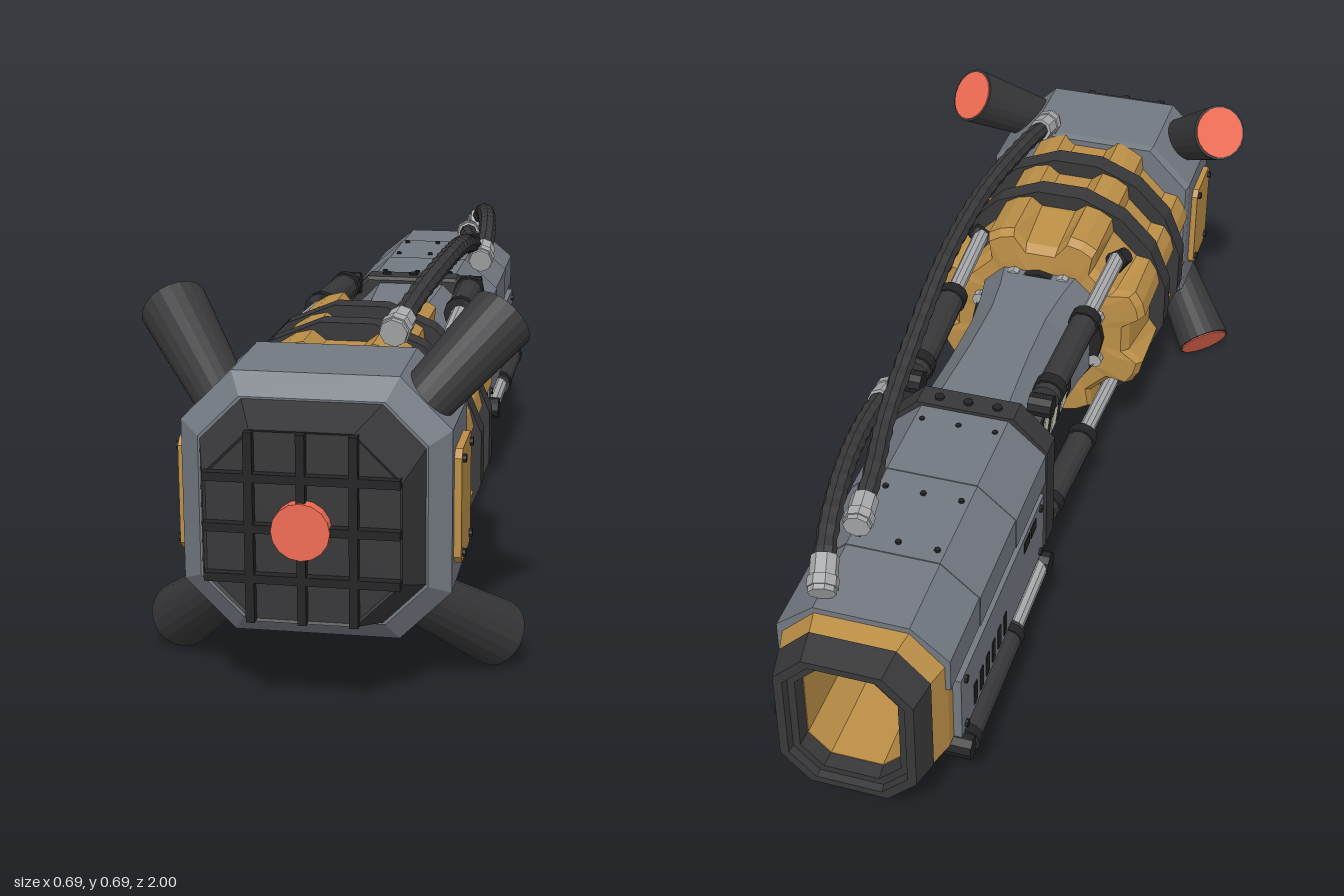
import * as THREE from 'three';

const mat = (color) => new THREE.MeshStandardMaterial({ color, flatShading: true });
const grey = mat(0x737982), yellow = mat(0xbc8f47), dark = mat(0x38383a), black = mat(0x242426);
const red = mat(0xf06c54), silver = mat(0xa8aaac), cream = mat(0xd9d6c2);
const CY = 0.348;          // height of the main axis
const V = (x, y, z) => new THREE.Vector3(x, y, z);

// Chamfered rectangle, counter-clockwise seen from +z
const oct = (hw, hh, c, cy = CY) => [
  [hw, -hh + c], [hw, hh - c], [hw - c, hh], [-hw + c, hh],
  [-hw, hh - c], [-hw, -hh + c], [-hw + c, -hh], [hw - c, -hh],
].map(([x, y]) => [x, y + cy]);

// Skin through sections [points, z], with end caps unless it is a closed ring
function loft(sections, caps = true) {
  const pos = [], idx = [], n = sections[0][0].length;
  for (const [pts, z] of sections) for (const [x, y] of pts) pos.push(x, y, z);
  for (let i = 0; i < sections.length - 1; i++)
    for (let j = 0; j < n; j++) {
      const a = i * n + j, b = i * n + (j + 1) % n;
      idx.push(a, b, b + n, a, b + n, a + n);
    }
  for (const i of caps ? [0, sections.length - 1] : []) {
    const [pts, z] = sections[i], c = pos.length / 3;
    pos.push(pts.reduce((s, p) => s + p[0], 0) / n, pts.reduce((s, p) => s + p[1], 0) / n, z);
    for (let j = 0; j < n; j++) {
      const a = i * n + j, b = i * n + (j + 1) % n;
      idx.push(...(i ? [c, a, b] : [c, b, a]));
    }
  }
  const g = new THREE.BufferGeometry();
  g.setAttribute('position', new THREE.Float32BufferAttribute(pos, 3));
  g.setIndex(idx);
  const flat = g.toNonIndexed();
  flat.computeVertexNormals();
  return flat;
}

export function createModel() {
  const root = new THREE.Group();
  root.name = 'hammerDevice';
  const add = (name, geo, m) => {
    const mesh = new THREE.Mesh(geo, m);
    mesh.name = name;
    root.add(mesh);
    return mesh;
  };
  const box = (name, m, w, h, d, x, y, z) => add(name, new THREE.BoxGeometry(w, h, d), m).position.set(x, y, z);
  // Cylinder from a to b
  const rod = (name, m, a, b, ra, rb = ra, sides = 10) => {
    const dir = b.clone().sub(a), c = add(name, new THREE.CylinderGeometry(rb, ra, dir.length(), sides), m);
    c.position.copy(a).add(b).multiplyScalar(0.5);
    c.quaternion.setFromUnitVectors(V(0, 1, 0), dir.normalize());
    return c;
  };

  // Head and its tapered striking face
  add('head', loft([[oct(0.23, 0.23, 0.09), 0.645], [oct(0.235, 0.235, 0.09), 0.66],
    [oct(0.235, 0.235, 0.09), 0.86], [oct(0.198, 0.198, 0.073), 0.892]]), grey);
  add('strikingFace', loft([[oct(0.198, 0.198, 0.073), 0.88], [oct(0.168, 0.168, 0.08), 0.982],
    [oct(0.164, 0.164, 0.078), 0.978]]), dark);
  for (const o of [-0.088, 0, 0.088]) {
    box('faceRib', black, 0.015, 0.332, 0.024, o, CY, 0.983);
    box('faceRib', black, 0.332, 0.015, 0.024, 0, CY + o, 0.983);
  }
  rod('faceButton', red, V(0, CY, 0.97), V(0, CY, 1), 0.05, 0.05, 16);

  // Four thruster legs
  for (const sx of [-1, 1]) for (const sy of [-1, 1]) {
    const at = (r, z) => V(sx * r, CY + sy * r, z);
    rod('leg', dark, at(0.165, 0.821), at(0.295, 0.665), 0.048, 0.062, 20);
    rod('legTip', red, at(0.294, 0.6662), at(0.2965, 0.6632), 0.057, 0.057, 20);
  }

  // Fluted barrel with two bands
  const flutes = (s, floor = 0.22) => {
    const pts = [];
    for (let k = 0; k < 8; k++)
      for (const [d, r] of [[-15, 0.244], [-10, floor], [10, floor], [15, 0.244], [22.5, 0.247]]) {
        const a = (k * 45 + d) * Math.PI / 180;
        pts.push([Math.cos(a) * r * s, Math.sin(a) * r * s + CY]);
      }
    return pts;
  };
  add('barrel', loft([[flutes(0.72, 0.2), 0.218], [flutes(0.95, 0.2), 0.222], [flutes(1, 0.205), 0.24],
    [flutes(1), 0.36], [flutes(1), 0.65]]), yellow);
  for (const z of [0.395, 0.535]) {
    const b = rod('barrelBand', dark, V(0, CY, z - 0.024), V(0, CY, z + 0.024), 0.2549, 0.2549, 16);
    b.rotateY(Math.PI / 16);
  }
  rod('barrelBackPlate', black, V(0, CY, 0.2), V(0, CY, 0.22), 0.15, 0.15, 16);
  for (let k = 0; k < 8; k++) {
    const a = k * Math.PI / 4 + Math.PI / 8, p = (z) => V(Math.cos(a) * 0.145, CY + Math.sin(a) * 0.145, z);
    rod('backBolt', silver, p(0.2), p(0.23), 0.016, 0.016, 8);
  }

  // Neck and collar
  const waist = (hw, hh, cy) => oct(hw, hh, 0.045, cy);
  add('neck', loft([[waist(0.118, 0.13, 0.367), -0.28], [waist(0.108, 0.128, 0.366), -0.08],
    [waist(0.106, 0.128, 0.364), 0.06], [waist(0.114, 0.131, 0.36), 0.15], [waist(0.126, 0.135, 0.357), 0.225]]), grey);
  add('collar', loft([[oct(0.17, 0.19, 0.07, 0.32), -0.31], [oct(0.17, 0.19, 0.07, 0.32), -0.256],
    [oct(0.163, 0.183, 0.067, 0.32), -0.25]]), dark);
  for (const x of [-0.06, 0, 0.06]) rod('collarBolt', black, V(x, 0.5, -0.285), V(x, 0.515, -0.285), 0.01, 0.01, 8);

  // Hollow rear tube, open at the back, with a stepped dark muzzle ring
  const core = ([hw, hh, c, z]) => [oct(hw, hh, c, 0.315), z];
  add('rearTube', loft([[0.088, 0.115, 0.04, -0.6], [0.092, 0.119, 0.042, -0.955], [0.132, 0.155, 0.058, -0.955],
    [0.14, 0.163, 0.06, -0.942], [0.155, 0.17, 0.065, -0.89], [0.155, 0.17, 0.065, -0.3]].map(core)), yellow);
  add('rearRing', loft([[0.092, 0.119, 0.042, -0.94], [0.096, 0.123, 0.043, -0.985], [0.11, 0.136, 0.049, -0.985],
    [0.113, 0.139, 0.05, -1], [0.13, 0.153, 0.056, -1], [0.142, 0.165, 0.061, -0.94],
    [0.092, 0.119, 0.042, -0.94]].map(core), false), dark);

  // Grey top cover in three overlapping plates
  const cover = (hw, top) => [[hw, 0.365], [hw, 0.435], [0.09, top], [-0.09, top], [-hw, 0.435], [-hw, 0.365]];
  add('coverFront', loft([[cover(0.167, 0.503), -0.51], [cover(0.167, 0.503), -0.31]]), grey);
  add('coverMiddle', loft([[cover(0.165, 0.501), -0.73], [cover(0.165, 0.501), -0.5]]), grey);
  add('coverRear', loft([[cover(0.163, 0.496), -0.897], [cover(0.163, 0.499), -0.72]]), grey);
  for (const z of [-0.35, -0.56, -0.7])
    for (const x of [-0.075, 0, 0.075]) rod('coverBolt', black, V(x, 0.49, z), V(x, 0.506, z), 0.006, 0.006, 6);

  // Bottom hatch
  box('bottomHatch', dark, 0.17, 0.02, 0.47, 0, 0.143, -0.635);
  for (const z of [-0.41, -0.525, -0.635, -0.745, -0.86]) box('hatchRib', black, 0.175, 0.016, 0.014, 0, 0.138, z);

  for (const s of [-1, 1]) {
    // Head side plate with bolts
    const plate = add('headPlate', loft([[oct(0.068, 0.103, 0.014, 0), -0.007], [oct(0.068, 0.103, 0.014, 0), 0.007]]), yellow);
    plate.rotation.y = Math.PI / 2;
    plate.position.set(s * 0.241, CY, 0.77);
    for (const y of [-0.085, 0.085]) for (const z of [0.72, 0.82])
      rod('plateBolt', black, V(s * 0.245, CY + y, z), V(s * 0.254, CY + y, z), 0.008, 0.008, 8);

    // Hazard panel on the neck
    box('hazardPanel', black, 0.02, 0.078, 0.256, s * 0.106, 0.348, -0.06);
    for (let k = 0; k < 3; k++) {
      const u = -0.12 + k * 0.078;
      const stripe = new THREE.Shape([[u + 0.04, -0.036], [u + 0.08, -0.036], [u + 0.04, 0.036], [u, 0.036]]
        .map(([a, b]) => new THREE.Vector2(s * a, b)));
      const m = add('hazardStripe', new THREE.ExtrudeGeometry(stripe, { depth: 0.003, bevelEnabled: false }), cream);
      m.rotation.y = s * Math.PI / 2;
      m.position.set(s * 0.115, 0.348, -0.06);
    }

    // Neck pistons joining barrel and collar
    for (const t of [-1, 1]) {
      const a = V(s * 0.136, CY + t * 0.15, -0.245), b = V(s * 0.156, CY + t * 0.165, 0.29);
      const at = (k) => a.clone().lerp(b, k);
      rod('pistonRod', silver, at(0.5), b, 0.017);
      rod('pistonBody', dark, at(0.06), at(0.58), 0.029, 0.029, 12);
      for (const k of [0.09, 0.53]) rod('pistonRing', black, at(k), at(k + 0.05), 0.033, 0.033, 12);
      rod('pistonJoint', black, V(s * 0.112, a.y, -0.235), V(s * 0.16, a.y, -0.235), 0.024);
      rod('barrelLug', black, V(s * 0.14, CY + t * 0.14, 0.295), V(s * 0.176, CY + t * 0.176, 0.295), 0.026, 0.018, 10);
    }

    // Side panel: tall vents on the left, short vents and two windows on the right
    box('sidePanel', grey, 0.03, 0.145, 0.53, s * 0.156, 0.283, -0.6);
    const [ventH, ventY] = s > 0 ? [0.1, 0.283] : [0.05, 0.25];
    for (let k = 0; k < 6; k++) box('ventSlot', black, 0.004, ventH, 0.018, s * 0.171, ventY, -0.6 - k * 0.037);
    if (s < 0) for (const z of [-0.41, -0.455]) box('panelWindow', black, 0.004, 0.025, 0.036, s * 0.171, 0.33, z);
    for (const y of [0.225, 0.34]) for (const z of [-0.36, -0.84])
      rod('panelBolt', black, V(s * 0.168, y, z), V(s * 0.176, y, z), 0.008, 0.008, 8);

    // Slim piston under the side panel
    const p = (z) => V(s * 0.172, 0.187, z);
    rod('sideRod', silver, p(-0.36), p(-0.56), 0.018);
    rod('sideCylinder', dark, p(-0.55), p(-0.85), 0.025, 0.025, 12);
    for (const z of [-0.56, -0.83]) rod('sideCylinderRing', black, p(z), p(z - 0.02), 0.028, 0.028, 12);
    for (const z of [-0.35, -0.86]) rod('sideJoint', black, V(s * 0.14, 0.187, z), V(s * 0.192, 0.187, z), 0.024);
  }

  // Ribbed hoses with metal end fittings
  const hose = (pts, segs) => {
    const curve = new THREE.CatmullRomCurve3(pts.map((p) => V(...p)));
    const geo = new THREE.TubeGeometry(curve, segs, 0.02, 8), pos = geo.attributes.position, v = V(0, 0, 0);
    for (let i = 0; i < pos.count; i++) {
      const ringNo = Math.floor(i / 9), c = curve.getPointAt(ringNo / segs);
      v.fromBufferAttribute(pos, i).sub(c).multiplyScalar(ringNo % 2 ? 1.06 : 0.92).add(c);
      pos.setXYZ(i, v.x, v.y, v.z);
    }
    add('hose', geo, dark);
    for (const e of [0, 1]) {
      const c = curve.getPointAt(e), d = curve.getTangentAt(e).multiplyScalar(e ? 1 : -1);
      const at = (k) => c.clone().addScaledVector(d, k);
      rod('hoseFitting', silver, at(-0.045), at(0.025), 0.026, 0.026, 8);
      rod('hoseNut', silver, at(-0.005), at(0.015), 0.029, 0.029, 8);
    }
  };
  hose([[0.105, 0.612, 0.64], [0.118, 0.635, 0.5], [0.138, 0.652, 0.25], [0.142, 0.638, 0], [0.132, 0.592, -0.25],
    [0.115, 0.558, -0.45], [0.09, 0.55, -0.58], [0.077, 0.535, -0.69]], 56);
  hose([[0.148, 0.545, -0.34], [0.148, 0.563, -0.42], [0.138, 0.582, -0.55], [0.12, 0.585, -0.68], [0.1, 0.565, -0.79],
    [0.082, 0.53, -0.86]], 28);
  return root;
}
